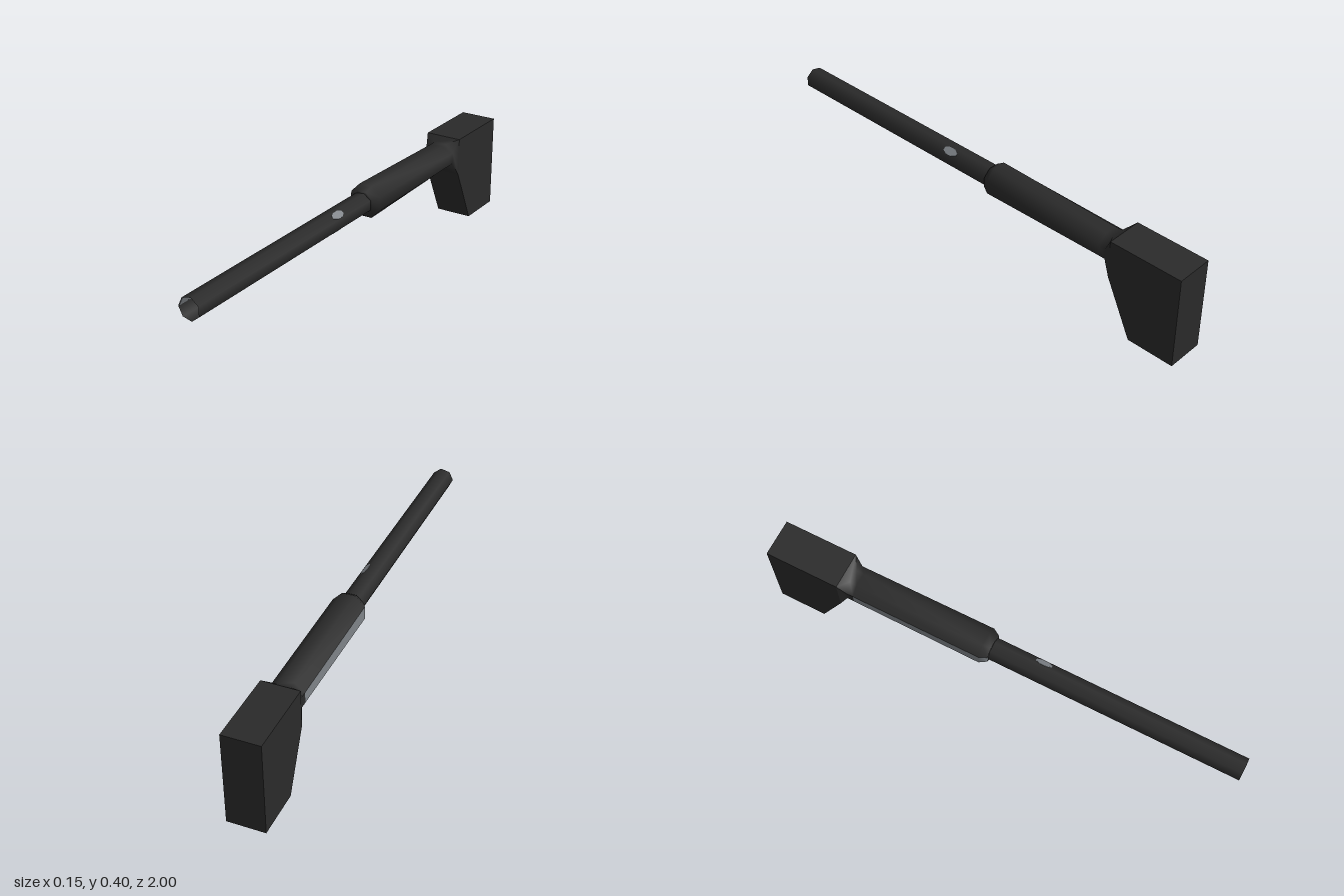
import * as THREE from 'three';

const dark = new THREE.MeshStandardMaterial({ color: 0x2a2a2a, side: THREE.DoubleSide });
dark.name = 'charcoal';
const grey = new THREE.MeshStandardMaterial({ color: 0x7e8388, side: THREE.DoubleSide });
grey.name = 'steel grey';

const AXIS_Y = 0.317;
const ROD_R = 0.046;
const FACET = (Math.PI * 2) / 7;

function add(parent, name, geometry, material) {
  const mesh = new THREE.Mesh(geometry, material);
  mesh.name = name;
  parent.add(mesh);
  return mesh;
}

// Eight-point section: k = 0.414 is an octagon, k = 1 a rectangle
function section([z, hx, hy, cy, k]) {
  return [[1, -k], [1, k], [k, 1], [-k, 1], [-1, k], [-1, -k], [-k, -1], [k, -1]]
    .map(([x, y]) => [x * hx, cy + y * hy, z]);
}

// Skin chosen sides of the sections, running from front to back
function loft(rings, sides) {
  const index = [];
  for (let r = 0; r < rings.length - 1; r++) {
    for (const i of sides) {
      const a = r * 8 + i, b = r * 8 + ((i + 1) % 8), c = a + 8, d = b + 8;
      index.push(a, c, b, b, c, d);
    }
  }
  const g = new THREE.BufferGeometry();
  g.setAttribute('position', new THREE.Float32BufferAttribute(rings.map(section).flat(2), 3));
  g.setIndex(index);
  g.computeVertexNormals();
  return g;
}

// Thin plate lying on a rod facet
function facetPlate(parent, name, angle, radius, width, length, z) {
  const g = new THREE.CylinderGeometry(0.5, 0.5, 0.004, 8).rotateY(Math.PI / 8);
  g.scale(width, 1, length);
  const plate = add(parent, name, g, grey);
  plate.position.set(Math.cos(angle) * radius, AXIS_Y + Math.sin(angle) * radius, z);
  plate.rotation.z = angle - Math.PI / 2;
}

export function createModel() {
  const model = new THREE.Group();
  model.name = 'barrelAndStock';

  // Seven-sided open rod with a recessed floor
  const rod = new THREE.CylinderGeometry(ROD_R, ROD_R, 1.06, 7, 1, true, -Math.PI / 2);
  rod.rotateX(Math.PI / 2).translate(0, AXIS_Y, 0.47);
  add(model, 'rod', rod, dark);
  const floor = new THREE.CircleGeometry(ROD_R, 7, Math.PI).translate(0, AXIS_Y, 0.92);
  add(model, 'boreFloor', floor, dark);

  // Grey facet inside the mouth
  const inner = add(model, 'boreFacet', new THREE.BoxGeometry(0.036, 0.002, 0.078), grey);
  const a = FACET * 3;
  inner.position.set(Math.cos(a) * 0.0395, AXIS_Y + Math.sin(a) * 0.0395, 0.96);
  inner.rotation.z = a - Math.PI / 2;

  // Small grey inlays on the rod
  facetPlate(model, 'upperInlay', FACET, 0.0405, 0.034, 0.072, 0.155);
  facetPlate(model, 'lowerInlay', -FACET, 0.0405, 0.018, 0.05, 0.165);

  // Octagonal sleeve, flaring into the stock
  const k = Math.SQRT2 - 1;
  const sleeve = [
    [-0.05, 0.038, 0.038, AXIS_Y, k],
    [-0.05, 0.05, 0.05, AXIS_Y, k],
    [-0.08, 0.066, 0.0675, AXIS_Y, k],
    [-0.63, 0.065, 0.055, AXIS_Y, k],
    [-0.66, 0.065, 0.056, AXIS_Y, k],
    [-0.69, 0.077, 0.08, 0.315, 1],
  ];
  add(model, 'sleeve', loft(sleeve, [0, 1, 2, 3, 5, 6, 7]), dark);
  add(model, 'sleeveStrip', loft(sleeve.slice(0, 4), [4]), grey);
  add(model, 'sleeveStripEnd', loft(sleeve.slice(3), [4]), dark);

  // Stock with a slanted underside
  const profile = new THREE.Shape([
    [-1, 0], [-0.8, 0], [-0.69, 0.235], [-0.69, 0.395], [-1, 0.395],
  ].map(([z, y]) => new THREE.Vector2(z, y)));
  const stock = new THREE.ExtrudeGeometry(profile, { depth: 0.154, bevelEnabled: false });
  stock.rotateY(-Math.PI / 2).translate(0.077, 0, 0);
  add(model, 'stock', stock, dark);

  return model;
}
